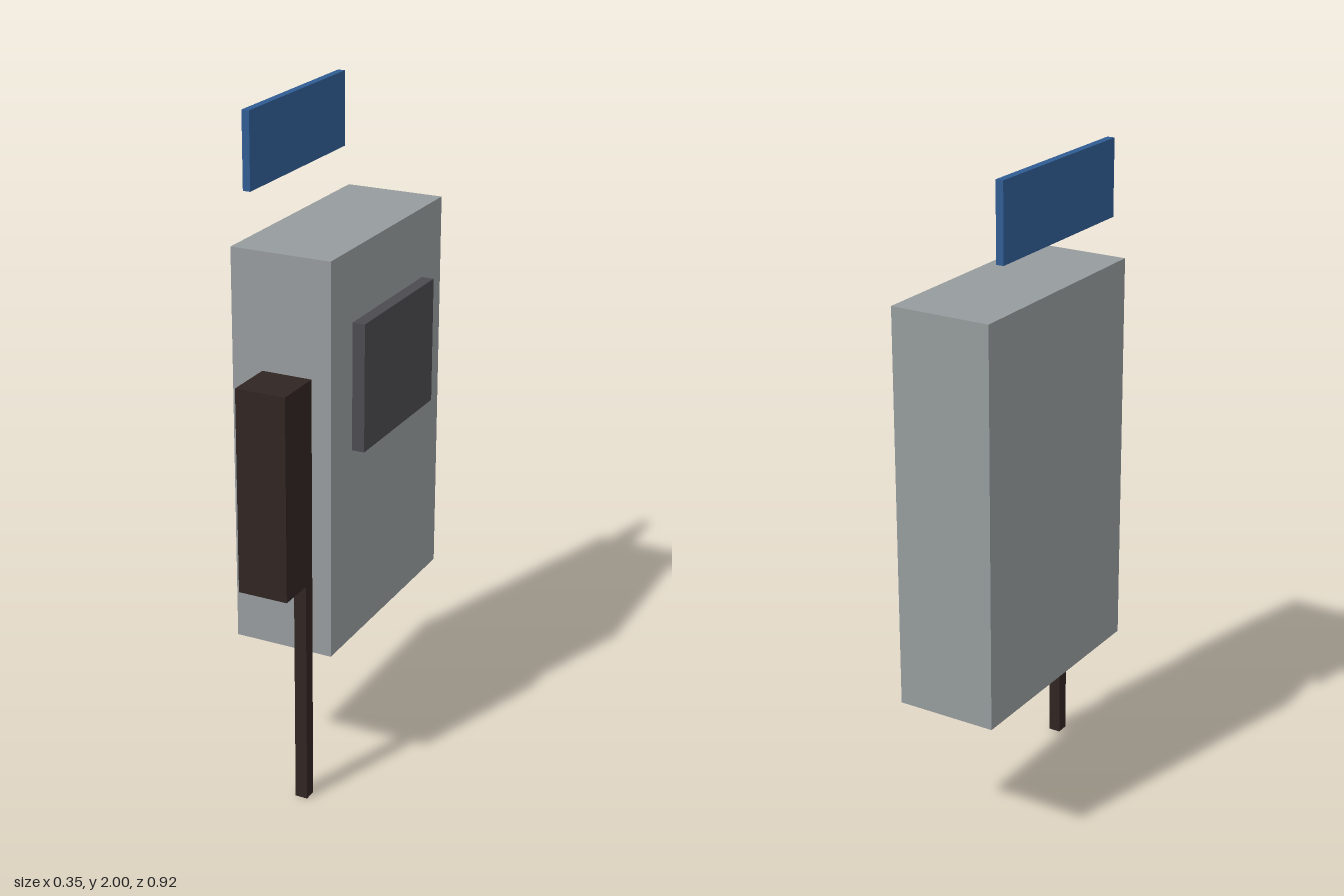
import * as THREE from 'three';

// Box given by its extents along each axis
function slab(name, color, [x0, x1], [y0, y1], [z0, z1]) {
  const mesh = new THREE.Mesh(
    new THREE.BoxGeometry(x1 - x0, y1 - y0, z1 - z0),
    new THREE.MeshStandardMaterial({ color })
  );
  mesh.position.set((x0 + x1) / 2, (y0 + y1) / 2, (z0 + z1) / 2);
  mesh.name = name;
  return mesh;
}

export function createModel() {
  const model = new THREE.Group();
  model.name = 'wallCabinet';
  const grey = 0x969b9d, charcoal = 0x4b4a4f, brown = 0x302522, blue = 0x305c92;

  model.add(
    // main cabinet
    slab('cabinetBody', grey, [-0.174, 0.133], [0.445, 1.637], [-0.46, 0.266]),
    // raised panel on the left face
    slab('displayPanel', charcoal, [0.133, 0.171], [1.043, 1.425], [-0.328, 0.133]),
    // thin plate floating above the cabinet
    slab('signPlate', blue, [-0.174, -0.151], [1.775, 2], [-0.386, 0.192]),
    // separate box in front and the slim post under its rear corner
    slab('frontBox', brown, [-0.057, 0.095], [0.698, 1.309], [0.307, 0.46]),
    slab('frontPost', brown, [0.057, 0.095], [0, 0.698], [0.307, 0.346])
  );
  return model;
}
